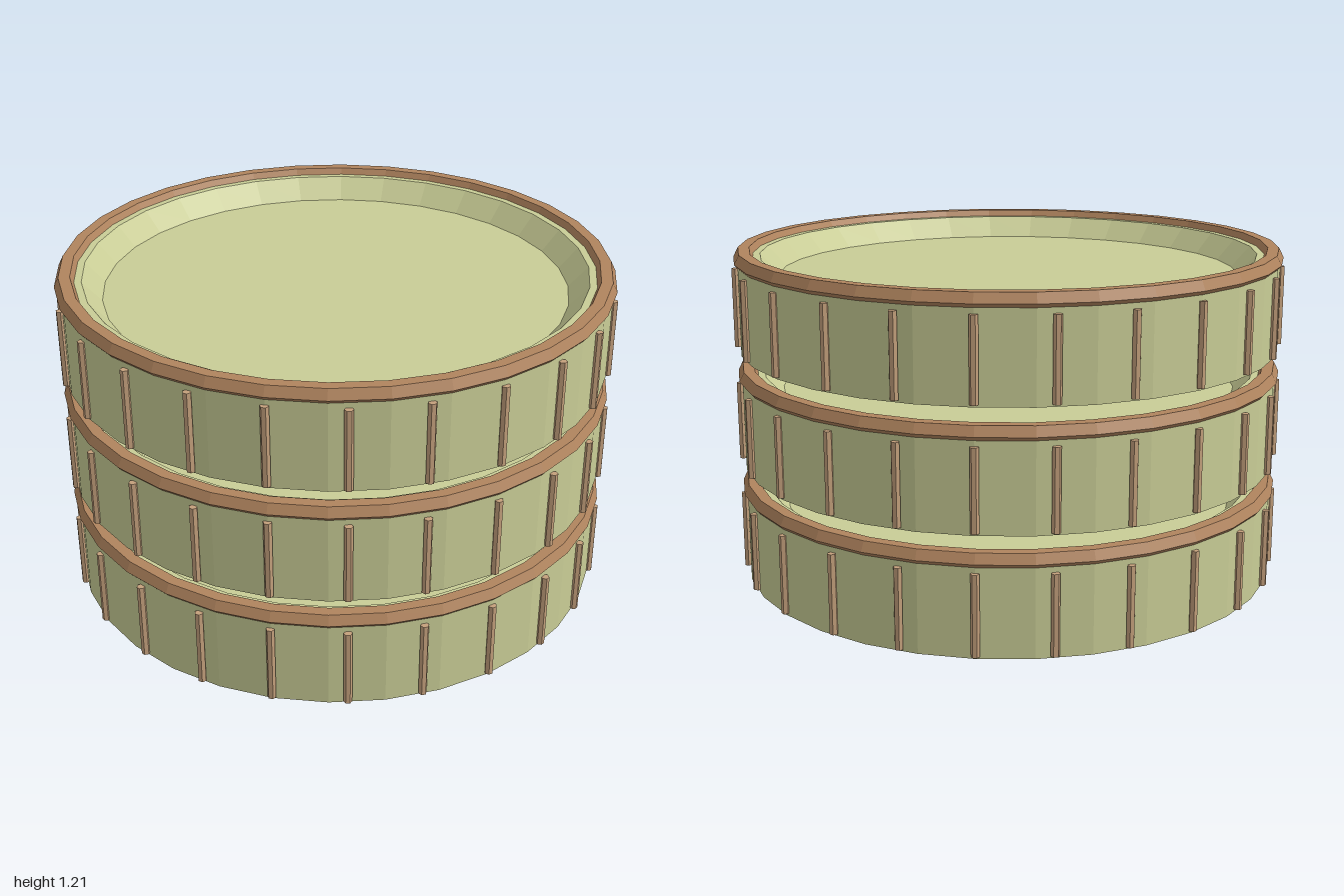
import * as THREE from 'three';

const SIDES = 32;   // facets around each tray
const RIBS = 24;    // upright ribs around each tray
const PITCH = 0.42; // vertical spacing of the trays

function flatColour(name, color) {
  const material = new THREE.MeshStandardMaterial({ color, flatShading: true });
  material.name = name;
  return material;
}
const bodyGreen = flatColour('sage green', 0xc9cd96);
const rimBrown = flatColour('wood brown', 0xb0845e);
const ribTan = flatColour('light tan', 0xc4a07c);

const lathe = (points) =>
  new THREE.LatheGeometry(points.map(([r, y]) => new THREE.Vector2(r, y)), SIDES);

// Dish: underside, outer wall, lip, sloping inner wall and floor
const dishGeometry = lathe([
  [0, 0], [0.83, 0], [0.983, 0.007], [0.983, 0.345],
  [0.90, 0.345], [0.832, 0.27], [0, 0.27],
]);

// Rim: closed six-sided ring
const rimGeometry = lathe([
  [0.978, 0.315], [0.995, 0.334], [0.978, 0.368],
  [0.938, 0.368], [0.923, 0.34], [0.938, 0.315], [0.978, 0.315],
]);

// Rib: slim six-sided rod with a flat face turned outwards
const ribGeometry = new THREE.CylinderGeometry(0.015, 0.015, 0.285, 6, 1, false, Math.PI / 6);

function part(name, geometry, material) {
  const mesh = new THREE.Mesh(geometry, material);
  mesh.name = name;
  return mesh;
}

function createTray() {
  const tray = new THREE.Group();
  tray.name = 'tray';
  tray.add(part('dish', dishGeometry, bodyGreen));
  tray.add(part('rim', rimGeometry, rimBrown));

  // Ribs around the outer wall
  const ribs = new THREE.Group();
  ribs.name = 'ribs';
  for (let i = 0; i < RIBS; i++) {
    const a = (i / RIBS) * Math.PI * 2;
    const rib = part('rib', ribGeometry, ribTan);
    rib.position.set(Math.sin(a) * 0.987, 0.159, Math.cos(a) * 0.987);
    rib.rotation.y = a;
    ribs.add(rib);
  }
  tray.add(ribs);
  return tray;
}

export function createModel() {
  const model = new THREE.Group();
  model.name = 'stackedTrays';
  for (let i = 0; i < 3; i++) {
    const tray = createTray();
    tray.position.y = i * PITCH;
    model.add(tray);
  }
  return model;
}
